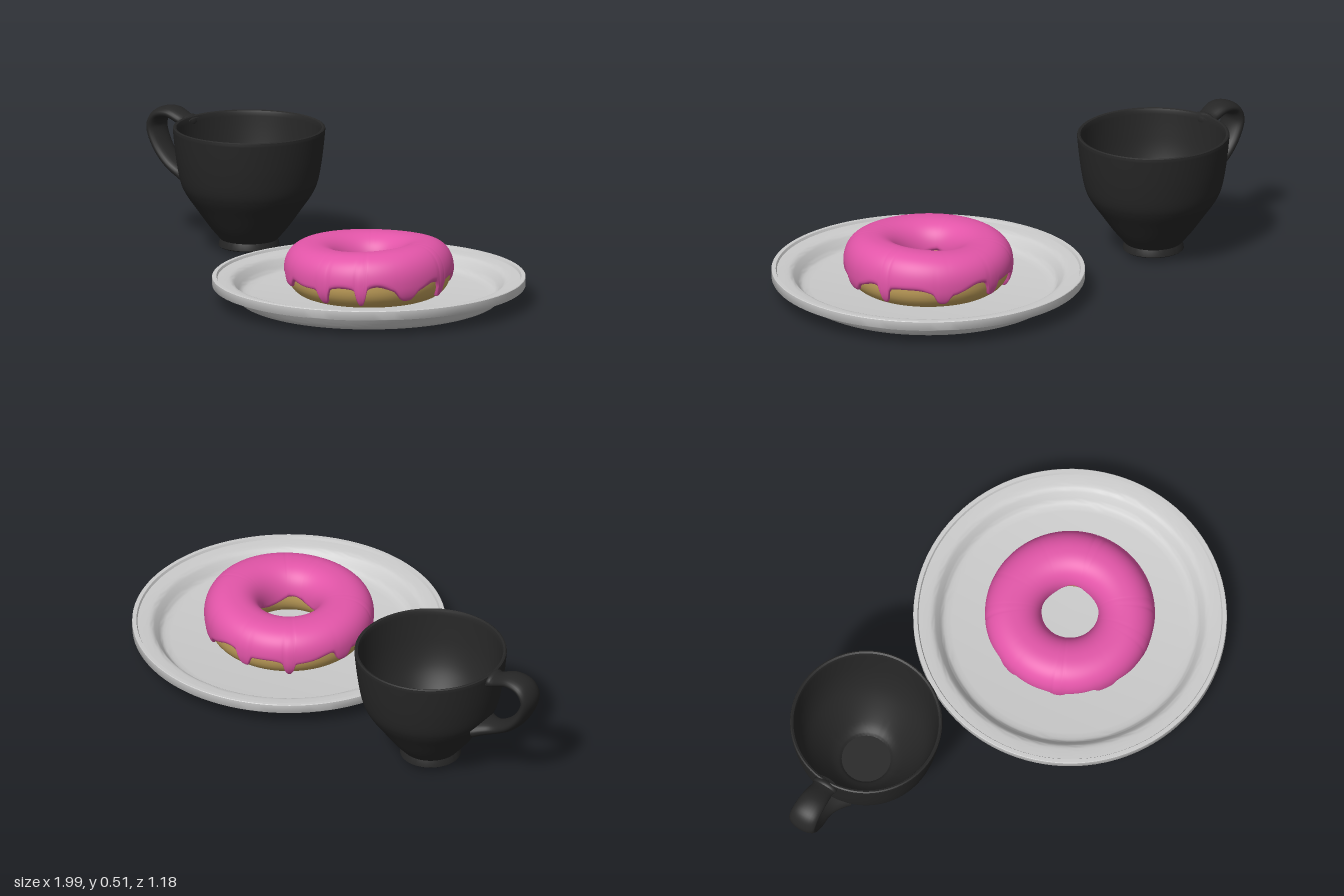
import * as THREE from 'three';
import { toCreasedNormals } from 'three/addons/utils/BufferGeometryUtils.js';

const material = (name, color) => {
  const m = new THREE.MeshStandardMaterial({ color });
  m.name = name;
  return m;
};

const named = (name, geometry, mat) => {
  const mesh = new THREE.Mesh(geometry, mat);
  mesh.name = name;
  return mesh;
};

// Surface of closed rings: point(s, t) with s along the rows and t around each ring, both 0..1
function ringSurface(rows, around, point) {
  const pos = [], index = [];
  for (let i = 0; i <= rows; i++)
    for (let j = 0; j < around; j++) pos.push(...point(i / rows, j / around));
  for (let i = 0; i < rows; i++)
    for (let j = 0; j < around; j++) {
      const k = (j + 1) % around;
      const a = i * around + j, b = a + around, c = i * around + k, d = c + around;
      index.push(a, b, c, b, d, c);
    }
  const g = new THREE.BufferGeometry();
  g.setAttribute('position', new THREE.Float32BufferAttribute(pos, 3));
  g.setIndex(index);
  g.computeVertexNormals();
  return g;
}

const vectors = (list) => list.map(([x, y]) => new THREE.Vector2(x, y));
const smooth = (list, n) => new THREE.SplineCurve(vectors(list)).getPoints(n);
const lathe = (points) => toCreasedNormals(new THREE.LatheGeometry(points, 96), 0.6);

function makePlate(mat) {
  const points = [
    ...vectors([[0, 0], [0.44, 0]]),
    ...smooth([[0.465, 0.001], [0.49, 0.012], [0.508, 0.035], [0.522, 0.055], [0.54, 0.063]], 14),
    ...vectors([[0.588, 0.064], [0.59, 0.067], [0.59, 0.098], [0.588, 0.1], [0.574, 0.1], [0.57, 0.091]]),
    ...smooth([[0.54, 0.089], [0.515, 0.083], [0.495, 0.06], [0.477, 0.038], [0.445, 0.03]], 14),
    ...vectors([[0, 0.03]]),
  ];
  return named('plate', lathe(points), mat);
}

// Point on the slightly squared doughnut section, swollen by h
function ringPoint(theta, phi, h) {
  const soft = (v) => Math.sign(v) * Math.abs(v) ** 0.88;
  const r = 0.213 + (0.095 + h) * soft(Math.cos(phi));
  const lift = 0.008 * Math.cos(theta) + 0.004 * Math.cos(2 * theta + 0.6);
  const sy = soft(Math.sin(phi));
  const y = 0.126 + (0.096 + h) * sy + Math.max(0, sy) * lift;
  return [r * Math.cos(theta), y, r * Math.sin(theta)];
}

// Drips around the outer rim: angle in degrees, length in radians of section, half width
const drips = [
  [-62, 0.35, 0.09], [-20, 0.62, 0.06], [12, 0.3, 0.12], [45, 0.68, 0.06], [73, 0.62, 0.07],
  [112, 0.35, 0.12], [146, 0.6, 0.06], [185, 0.4, 0.1], [225, 0.68, 0.06], [258, 0.5, 0.08],
];
function outerEdge(theta) {
  let e = -0.1 - 0.09 * Math.sin(5 * theta + 0.8) - 0.05 * Math.sin(9 * theta);
  for (const [deg, length, width] of drips) {
    const d = theta - THREE.MathUtils.degToRad(deg);
    const wrapped = Math.atan2(Math.sin(d), Math.cos(d));
    e -= length * Math.exp(-((wrapped / width) ** 4)) + 0.1 * Math.exp(-((wrapped / width / 2) ** 2));
  }
  return e;
}

function makeDoughnut(dough, icing) {
  const group = new THREE.Group();
  group.name = 'doughnut';
  const base = ringSurface(40, 96, (s, t) =>
    ringPoint(t * Math.PI * 2, -Math.PI / 2 + s * Math.PI * 2, 0));
  const glaze = ringSurface(60, 240, (s, t) => {
    const theta = t * Math.PI * 2;
    const start = outerEdge(theta);
    const end = Math.PI + 0.12 + 0.12 * Math.sin(4 * theta + 1);
    // rounded lip that tucks into the dough at both edges
    const lip = Math.min(1, Math.min(s, 1 - s) / 0.045);
    const h = -0.004 + 0.016 * Math.sqrt(1 - (1 - lip) ** 2);
    return ringPoint(theta, start + (end - start) * s, h);
  });
  group.add(named('dough', base, dough), named('icing', glaze, icing));
  return group;
}

function makeCup(mat) {
  const group = new THREE.Group();
  group.name = 'cup';

  // foot, outer wall, rounded rim and inner wall
  const points = [
    ...vectors([[0, 0.03], [0.088, 0.03], [0.096, 0.021], [0.11, 0.02], [0.115, 0.024], [0.113, 0.036]]),
    ...smooth([[0.108, 0.05], [0.15, 0.1], [0.2, 0.17], [0.238, 0.225], [0.258, 0.27],
      [0.272, 0.34], [0.281, 0.41], [0.287, 0.472]], 36),
    ...vectors([[0.286, 0.478], [0.281, 0.481], [0.274, 0.478]]),
    ...smooth([[0.271, 0.47], [0.264, 0.4], [0.254, 0.33], [0.238, 0.27], [0.215, 0.22],
      [0.175, 0.16], [0.13, 0.105], [0.098, 0.08]], 30),
    ...vectors([[0.092, 0.073], [0, 0.073]]),
  ];
  group.add(named('cupBody', lathe(points), mat));

  // handle: flat oval section swept along an ear-shaped path, flared where it meets the wall
  const path = new THREE.CatmullRomCurve3([
    [0.273, 0.448], [0.315, 0.462], [0.375, 0.482], [0.43, 0.468], [0.453, 0.425],
    [0.43, 0.355], [0.375, 0.288], [0.312, 0.25], [0.235, 0.23],
  ].map(([x, y]) => new THREE.Vector3(x, y, 0)));
  const side = new THREE.Vector3(0, 0, 1);
  const handle = ringSurface(64, 24, (s, t) => {
    const p = path.getPoint(s);
    const n = path.getTangent(s).cross(side);
    const a = t * Math.PI * 2;
    const flare = 0.045 * Math.max(0, (s - 0.82) / 0.18) ** 2 + 0.012 * Math.max(0, 1 - s / 0.12);
    const width = 0.036 + 0.02 * Math.sin(Math.PI * Math.min(1, s * 1.1)) + flare;
    const thick = 0.023 + 0.25 * flare;
    p.addScaledVector(n, thick * Math.cos(a)).addScaledVector(side, width * Math.sin(a));
    return p.toArray();
  });
  group.add(named('handle', handle, mat));

  // small collar at the upper joint of the handle
  const collar = named('handleCollar', new THREE.SphereGeometry(1, 24, 16), mat);
  collar.scale.set(0.022, 0.028, 0.05);
  collar.position.set(0.29, 0.457, 0);
  group.add(collar);
  return group;
}

export function createModel() {
  const plateGrey = material('plateGrey', 0xcbcbcb);
  const cupBlack = material('cupBlack', 0x262626);
  const icingPink = material('icingPink', 0xe255a8);
  const doughTan = material('doughTan', 0xc4a25c);

  const model = new THREE.Group();
  model.name = 'cupAndDoughnut';

  const plate = makePlate(plateGrey);
  plate.position.set(0.41, 0, 0);
  const doughnut = makeDoughnut(doughTan, icingPink);
  doughnut.position.set(0.41, 0, 0);
  const cup = makeCup(cupBlack);
  cup.position.set(-0.523, 0, -0.182);
  cup.rotation.y = Math.PI + 0.185;

  model.add(plate, doughnut, cup);
  return model;
}
